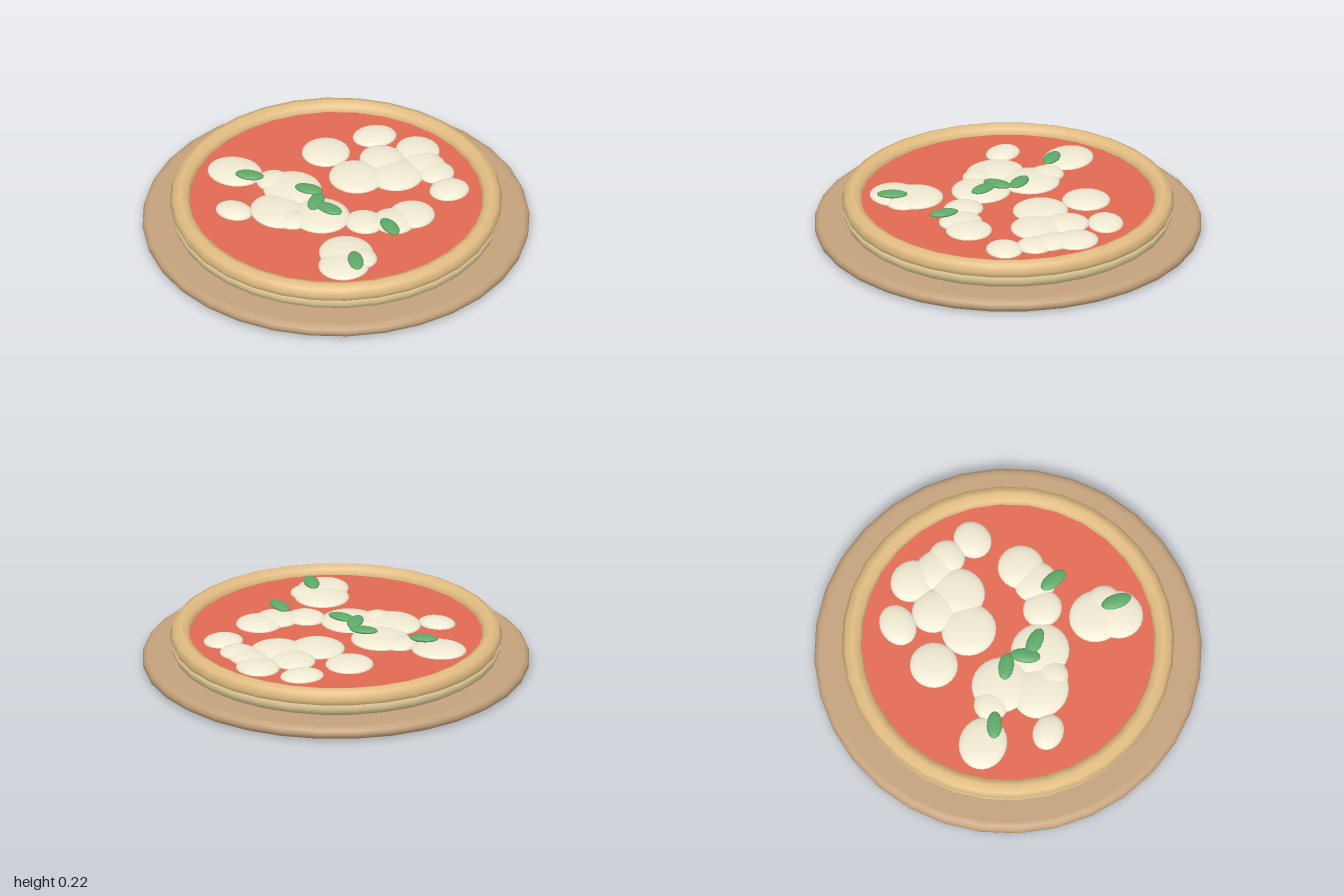
import * as THREE from 'three';

const SEGMENTS = 32;

function paint(color) {
  const material = new THREE.MeshStandardMaterial();
  material.color.set(color);
  return material;
}

function addMesh(parent, name, geometry, material) {
  const mesh = new THREE.Mesh(geometry, material);
  mesh.name = name;
  parent.add(mesh);
  return mesh;
}

// Turned solid from [radius, height] pairs, bottom to top
function turned(profile) {
  return new THREE.LatheGeometry(profile.map(([r, y]) => new THREE.Vector2(r, y)), SEGMENTS);
}

export function createModel() {
  const pizza = new THREE.Group();
  pizza.name = 'pizzaOnBoard';

  // Round wooden board with softened rim
  addMesh(pizza, 'board', turned([
    [0, 0], [0.95, 0], [0.975, 0.003], [0.995, 0.016], [1, 0.035],
    [0.995, 0.054], [0.978, 0.067], [0.955, 0.07], [0, 0.07],
  ]), paint(0xc4a27c));

  // Dough base, widening slightly upward
  addMesh(pizza, 'doughBase', turned([
    [0, 0.068], [0.82, 0.07], [0.842, 0.085], [0.85, 0.11], [0.848, 0.135], [0, 0.14],
  ]), paint(0xe0cb98));

  // Raised crust ring
  const crust = addMesh(pizza, 'crust', new THREE.TorusGeometry(0.805, 0.053, 8, SEGMENTS), paint(0xe2bd82));
  crust.rotation.x = -Math.PI / 2;
  crust.position.y = 0.161;

  // Tomato sauce
  const sauce = addMesh(pizza, 'sauce', new THREE.CylinderGeometry(0.775, 0.775, 0.04, SEGMENTS), paint(0xe26a53));
  sauce.position.y = 0.15;

  // Melted cheese: x, z, radius along x, radius along z, turn
  const cheese = new THREE.Group();
  cheese.name = 'cheese';
  pizza.add(cheese);
  const cheeseMaterial = paint(0xf0e9d2);
  const blob = new THREE.SphereGeometry(1, 24, 14);
  [
    [-0.275, -0.5, 0.125, 0.145, 0.5], [-0.485, -0.23, 0.08, 0.1, 0.4],
    [-0.165, -0.315, 0.09, 0.09, 0], [-0.13, -0.2, 0.15, 0.155, 0],
    [-0.31, -0.09, 0.135, 0.155, 0], [-0.29, 0.02, 0.085, 0.08, 0],
    [-0.155, 0.075, 0.15, 0.155, 0], [-0.01, 0.255, 0.098, 0.105, 0],
    [0.115, 0.34, 0.105, 0.115, 0], [0.225, 0.35, 0.12, 0.12, 0],
    [-0.245, 0.41, 0.14, 0.145, 0], [-0.32, 0.49, 0.135, 0.13, 0],
    [-0.22, 0.49, 0.09, 0.095, 0], [0.2, -0.35, 0.125, 0.125, 0],
    [0.485, -0.31, 0.115, 0.093, -0.4], [0.195, -0.085, 0.14, 0.145, 0],
    [0.395, -0.125, 0.115, 0.125, 0], [0.37, 0.03, 0.14, 0.135, 0],
    [0.59, -0.08, 0.11, 0.12, 0], [0.55, 0.04, 0.095, 0.13, 0],
    [0.545, 0.135, 0.095, 0.095, 0], [0.51, 0.295, 0.105, 0.095, -0.2],
  ].forEach(([x, z, rx, rz, turn], i) => {
    const piece = addMesh(cheese, `cheeseBlob${i + 1}`, blob, cheeseMaterial);
    piece.position.set(x, 0.17, z);
    piece.scale.set(rx, 0.031, rz);
    piece.rotation.y = turn;
  });

  // Basil leaves: x, z, half length, direction of the long axis in x and z
  const basil = new THREE.Group();
  basil.name = 'basil';
  pizza.add(basil);
  const basilMaterial = paint(0x5ea868);
  const leaf = new THREE.SphereGeometry(1, 18, 10);
  [
    [-0.26, -0.395, 0.075, 10, 12], [-0.09, -0.115, 0.075, 8, 12],
    [-0.125, -0.005, 0.078, 13, -9], [-0.11, 0.085, 0.078, 4, 13],
    [0.045, 0.4, 0.078, -2, 14], [-0.275, 0.53, 0.08, -7, 13],
  ].forEach(([x, z, length, dx, dz], i) => {
    const piece = addMesh(basil, `basilLeaf${i + 1}`, leaf, basilMaterial);
    piece.position.set(x, 0.205, z);
    piece.scale.set(length, 0.016, 0.04);
    piece.rotation.y = Math.atan2(-dz, dx);
  });

  return pizza;
}
